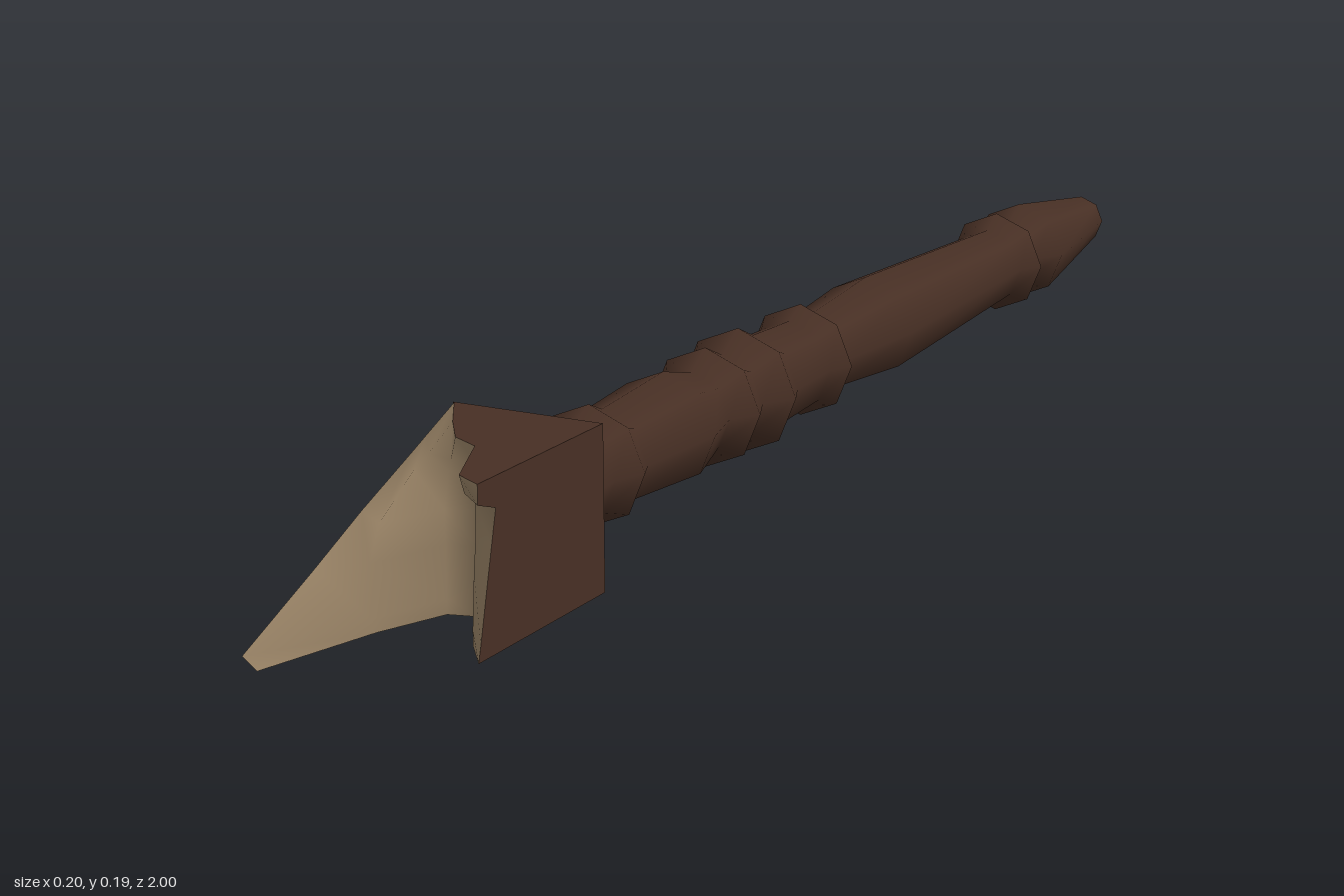
import * as THREE from 'three';

const AX = 0.003, AY = 0.098; // shaft axis

// Surface through rows of points; outward when rows run along u and columns along v with u x v outward
function loft(rows, smooth) {
  const n = rows[0].length, pos = rows.flat(2), idx = [];
  for (let r = 0; r < rows.length - 1; r++) {
    for (let c = 0; c < n - 1; c++) {
      const a = r * n + c, b = a + n;
      idx.push(a, b, a + 1, b, b + 1, a + 1);
    }
  }
  let g = new THREE.BufferGeometry();
  g.setAttribute('position', new THREE.Float32BufferAttribute(pos, 3));
  g.setIndex(idx);
  if (!smooth) g = g.toNonIndexed();
  g.computeVertexNormals();
  return g;
}

export function createModel() {
  const group = new THREE.Group();
  const darkWood = new THREE.MeshStandardMaterial({ color: 0x472f24, side: THREE.DoubleSide });
  darkWood.name = 'dark varnished wood';
  const rawWood = new THREE.MeshStandardMaterial({ color: 0x988265, side: THREE.DoubleSide });
  rawWood.name = 'raw broken wood';
  const add = (name, geo, mat) => {
    const m = new THREE.Mesh(geo, mat);
    m.name = name;
    group.add(m);
    return m;
  };

  // Turned shaft: radius, position along z
  const profile = [
    [0.034, -1], [0.068, -0.765], [0.043, -0.725], [0.07, -0.685], [0.052, -0.655],
    [0.068, -0.26], [0.054, -0.1], [0.073, -0.07], [0.058, -0.04], [0.062, 0.06],
    [0.08, 0.1], [0.055, 0.14], [0.075, 0.185], [0.052, 0.22], [0.07, 0.29],
    [0.06, 0.435], [0.073, 0.465], [0.057, 0.505], [0.06, 0.54],
  ].map(([r, z]) => new THREE.Vector2(r, z));
  const shaft = add('turnedShaft', new THREE.LatheGeometry(profile, 8).rotateX(Math.PI / 2), darkWood);
  shaft.position.set(AX, AY, 0);

  // Flat foot of the shaft
  const foot = add('shaftFoot', new THREE.CircleGeometry(0.034, 8).rotateY(Math.PI), darkWood);
  foot.position.set(AX, AY, -1);

  // Shoulder: octagon widening into the square block
  const round = [], square = [];
  for (let i = 0; i <= 8; i++) {
    const a = i * Math.PI / 4, c = Math.cos(a), s = Math.sin(a);
    round.push([AX + 0.06 * c, AY + 0.06 * s, 0.54]);
    square.push([AX + 0.097 * Math.sign(Math.round(c * 9)), AY + 0.097 * Math.sign(Math.round(s * 9)), 0.6]);
  }
  add('shoulder', loft([square, round], true), darkWood);

  // Splintered end: depth z of the break for each column (x) and height (y)
  const ys = [0, 0.018, 0.08, 0.12, 0.16, 0.172, 0.195];
  const columns = [
    [-0.093, [0.99, 1, 0.88, 0.79, 0.69, 0.66, 0.602]],
    [-0.05, [0.83, 0.84, 0.84, 0.82, 0.75, 0.72, 0.67]],
    [-0.015, [0.745, 0.745, 0.745, 0.745, 0.735, 0.73, 0.72]],
    [0.022, [0.735, 0.735, 0.735, 0.735, 0.735, 0.735, 0.74]],
    [0.065, [0.82, 0.82, 0.815, 0.81, 0.81, 0.83, 0.84]],
    [0.1, [0.865, 0.86, 0.845, 0.835, 0.825, 0.86, 0.86]],
  ];
  const lean = [0, -0.011, 0.0, 0.001, 0.002, 0.002, 0.002]; // outer tip bends outward
  const grid = columns.map(([x, zs], i) => ys.map((y, j) => [x + (i === 0 ? lean[j] : 0), y, zs[j]]));
  add('brokenFace', loft(grid, true), rawWood);

  // Block walls from the shoulder to the ragged edge
  const back = (p) => [THREE.MathUtils.clamp(p[0], -0.094, 0.1), p[1], 0.6];
  const wall = (name, edge) => add(name, loft([edge.map(back), edge], false), darkWood);
  wall('blockTop', grid.map((col) => col[6]));
  wall('blockBottom', grid.map((col) => col[0]).reverse());
  wall('blockRightWall', [...grid[0]]);
  wall('blockLeftWall', [...grid[5]].reverse());

  return group;
}
